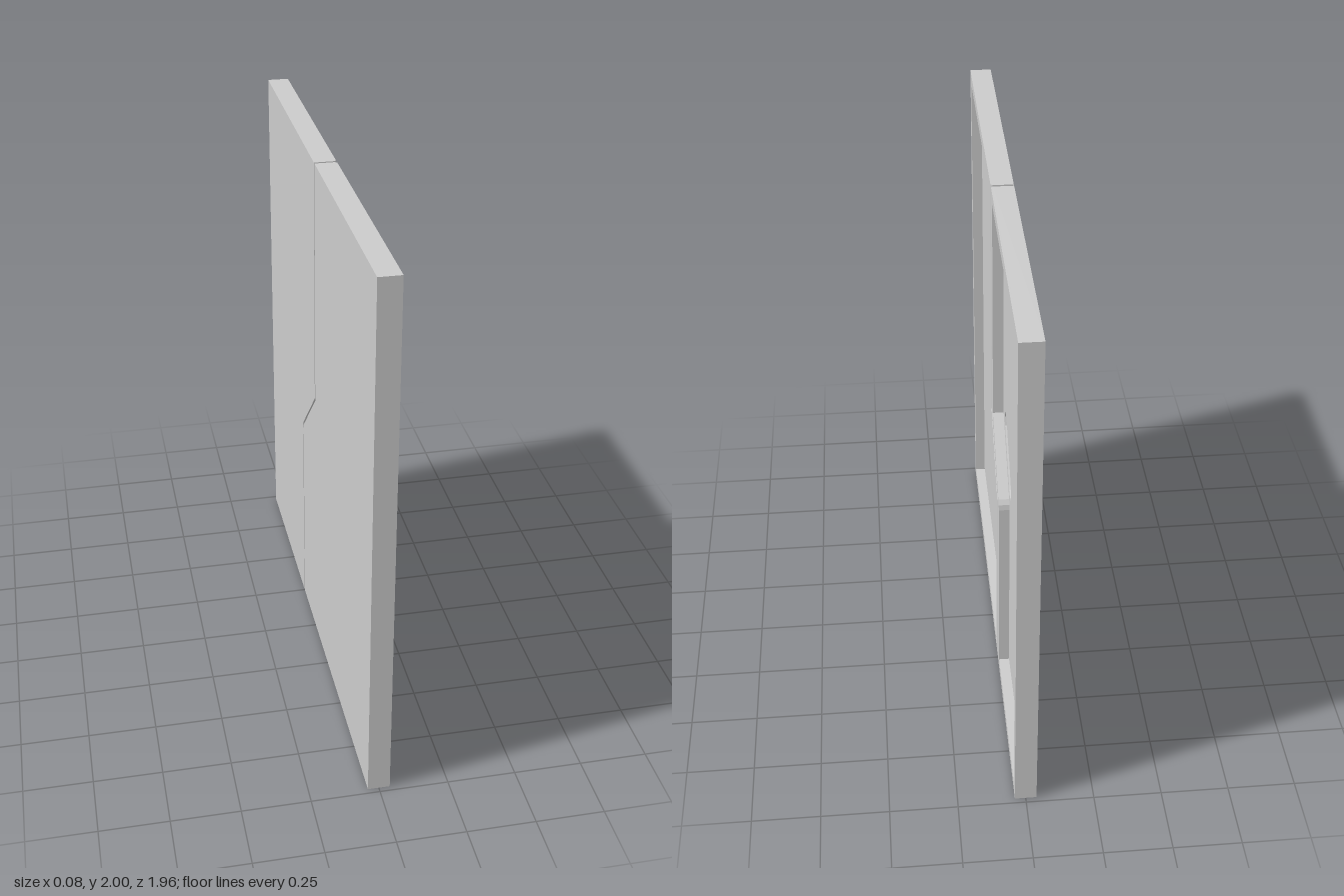
import * as THREE from 'three';
import { mergeGeometries } from 'three/addons/utils/BufferGeometryUtils.js';

const BACK = -0.04, PANEL = 0, SLOT = -0.02, FRONT = 0.04, BEVEL = 0.033;
const WIDTH = 0.98, HEIGHT = 2;
const material = new THREE.MeshStandardMaterial({ color: 0xcccccc, flatShading: true });

// Loops are counter-clockwise in a (u, v) plane that is turned to face +x at the end.

// Outline of one leaf: side is +1 or -1, gap is the offset from the seam, inset the outer margin
function leafLoop(side, gap, inset, rounded = false) {
  const d = side * gap;
  // The outer bend of the offset seam may be rounded; the inner one is mitred
  const bend = (u, v, outer) => rounded && outer
    ? [0, Math.PI / 8, Math.PI / 4].map(a => [u + d * Math.cos(a), v + d * Math.sin(a)])
    : [[u + d, v + d * Math.tan(Math.PI / 8)]];
  const upper = bend(0, 1.06, side < 0);
  const lower = bend(0.25, 0.815, side > 0).reverse();
  const outerU = side * (WIDTH - inset), top = HEIGHT - inset;
  const pts = [[d, top], ...upper, ...lower, [0.25 + d, inset], [outerU, inset], [outerU, top]];
  return side > 0 ? pts : pts.reverse();
}

// Diagonal grip slot with coarse rounded ends
function slotLoop(cu, cv) {
  const half = 0.085, r = 0.045, pts = [];
  for (const end of [-1, 1]) {
    for (let i = 0; i <= 4; i++) {
      const a = Math.PI / 4 * (i + (end < 0 ? 1 : 5));
      pts.push([cu + end * half + r * Math.cos(a), cv - end * half + r * Math.sin(a)]);
    }
  }
  return pts;
}

// Flat face at height w, optionally with a hole, facing +w or flipped
function cap(loop, w, hole = null, flip = false) {
  const toVec = l => l.map(p => new THREE.Vector2(...p));
  const shape = new THREE.Shape(toVec(loop));
  if (hole) shape.holes.push(new THREE.Path(toVec(hole)));
  const geo = new THREE.ShapeGeometry(shape).toNonIndexed();
  geo.deleteAttribute('uv');
  geo.translate(0, 0, w);
  if (flip) {
    const p = geo.attributes.position;
    const a = new THREE.Vector3(), b = new THREE.Vector3();
    for (let i = 0; i < p.count; i += 3) {
      a.fromBufferAttribute(p, i);
      b.fromBufferAttribute(p, i + 1);
      p.setXYZ(i, b.x, b.y, b.z);
      p.setXYZ(i + 1, a.x, a.y, a.z);
    }
    geo.computeVertexNormals();
  }
  return geo;
}

// Side walls between two loops; rising walls face out, sinking walls face in
function wall(a, wa, b, wb) {
  const pos = [];
  a.forEach((p, i) => {
    const j = (i + 1) % a.length;
    const A = [...p, wa], B = [...a[j], wa], C = [...b[j], wb], D = [...b[i], wb];
    pos.push(...A, ...B, ...C, ...A, ...C, ...D);
  });
  const geo = new THREE.BufferGeometry();
  geo.setAttribute('position', new THREE.Float32BufferAttribute(pos, 3));
  geo.computeVertexNormals();
  return geo;
}

function part(name, ...geos) {
  const mesh = new THREE.Mesh(mergeGeometries(geos).rotateY(Math.PI / 2), material);
  mesh.name = name;
  return mesh;
}

function doorLeaf(name, side, slotU, slotV) {
  const body = leafLoop(side, 0.005, 0);
  const face = leafLoop(side, 0.012, 0);
  const recess = leafLoop(side, 0.055, 0.042, true);
  const slot = slotLoop(slotU, slotV);
  const leaf = new THREE.Group();
  leaf.name = name;
  leaf.add(
    // Flat back, outer edges, bevelled seam edge and raised border
    part('frame', cap(body, BACK, null, true), wall(body, BACK, body, BEVEL),
      wall(body, BEVEL, face, FRONT), cap(face, FRONT, recess)),
    // Sunken field inside the border
    part('recessedPanel', wall(recess, FRONT, recess, PANEL), cap(recess, PANEL, slot)),
    // Grip sunk into the panel
    part('gripSlot', wall(slot, PANEL, slot, SLOT), cap(slot, SLOT)),
  );
  return leaf;
}

export function createModel() {
  const door = new THREE.Group();
  door.name = 'doubleDoor';
  door.add(
    doorLeaf('frontLeaf', -1, 0.025, 0.853),
    doorLeaf('rearLeaf', 1, 0.236, 1.015),
  );
  return door;
}
